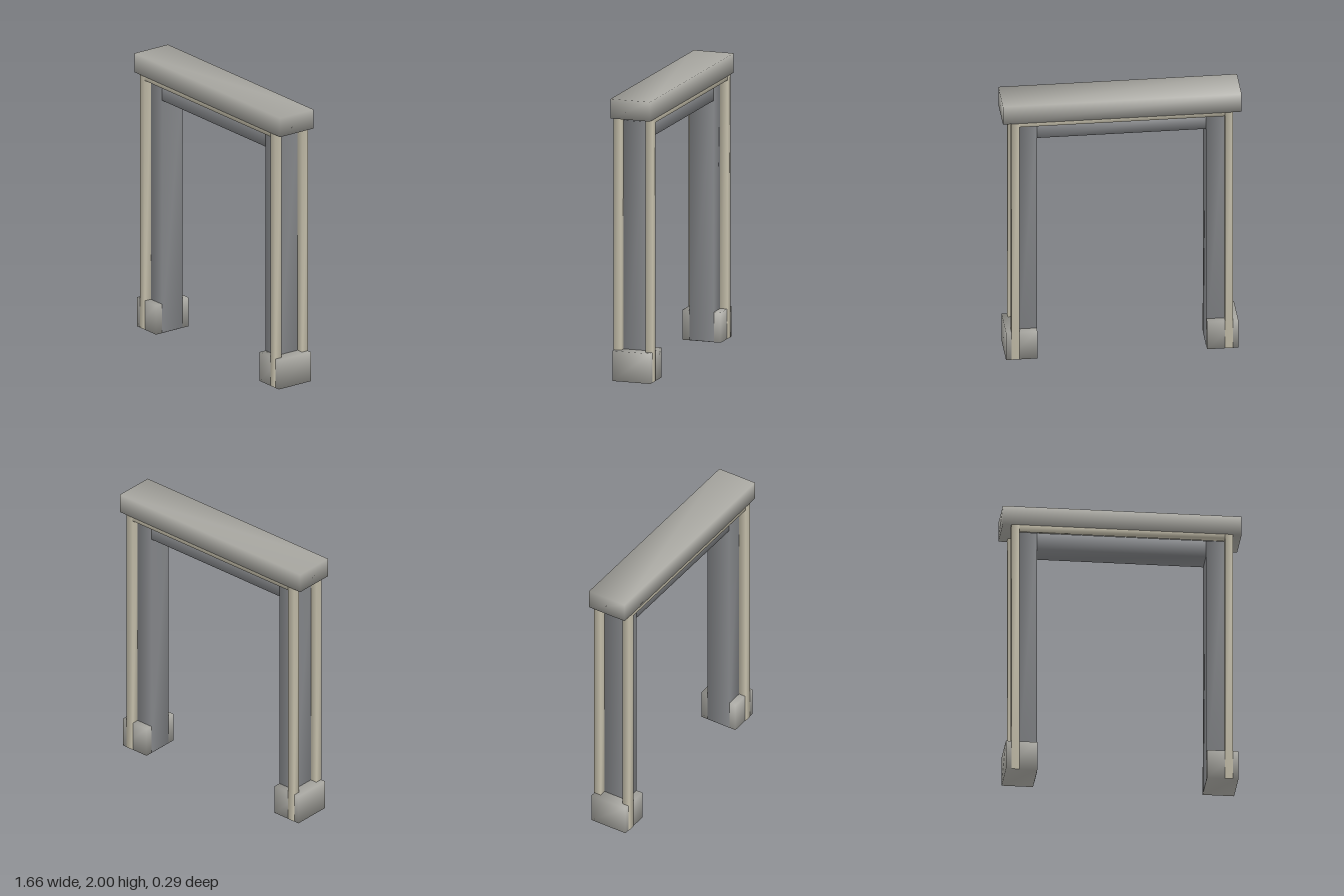
import * as THREE from 'three';
import { mergeVertices } from 'three/addons/utils/BufferGeometryUtils.js';

const capMat = new THREE.MeshStandardMaterial({ color: 0xa9a8a2 });
const trimMat = new THREE.MeshStandardMaterial({ color: 0xc6c0ac });
const frameMat = new THREE.MeshStandardMaterial({ color: 0x85878a });

// Box between two corners, with normals shared across its edges
function block(name, material, [x0, y0, z0], [x1, y1, z1]) {
  let geo = new THREE.BoxGeometry(Math.abs(x1 - x0), y1 - y0, z1 - z0);
  geo.deleteAttribute('normal');
  geo.deleteAttribute('uv');
  geo = mergeVertices(geo);
  geo.computeVertexNormals();
  const mesh = new THREE.Mesh(geo, material);
  mesh.name = name;
  mesh.position.set((x0 + x1) / 2, (y0 + y1) / 2, (z0 + z1) / 2);
  return mesh;
}

export function createModel() {
  const model = new THREE.Group();
  model.name = 'doorFrame';

  // Cap slab across the top
  model.add(block('cap', capMat, [-0.83, 1.862, -0.146], [0.83, 2, 0.146]));

  // Inner crossbeam
  model.add(block('crossbeam', frameMat, [-0.6, 1.71, -0.088], [0.6, 1.83, 0.088]));

  for (const s of [1, -1]) {
    const side = new THREE.Group();
    side.name = s > 0 ? 'leftLeg' : 'rightLeg';
    // Foot block and inner post
    side.add(block('foot', capMat, [s * 0.59, 0, -0.14], [s * 0.808, 0.213, 0.14]));
    side.add(block('post', frameMat, [s * 0.588, 0.002, -0.09], [s * 0.72, 1.83, 0.09]));
    // Slim trim columns at the front and back of the leg
    for (const z of [-0.117, 0.117]) {
      side.add(block('trimColumn', trimMat, [s * 0.715, 0.002, z - 0.027], [s * 0.77, 1.87, z + 0.027]));
    }
    model.add(side);
  }

  // Trim rails joining the columns under the cap
  for (const z of [-0.117, 0.117]) {
    model.add(block('trimRail', trimMat, [-0.72, 1.832, z - 0.026], [0.72, 1.885, z + 0.026]));
  }
  return model;
}
